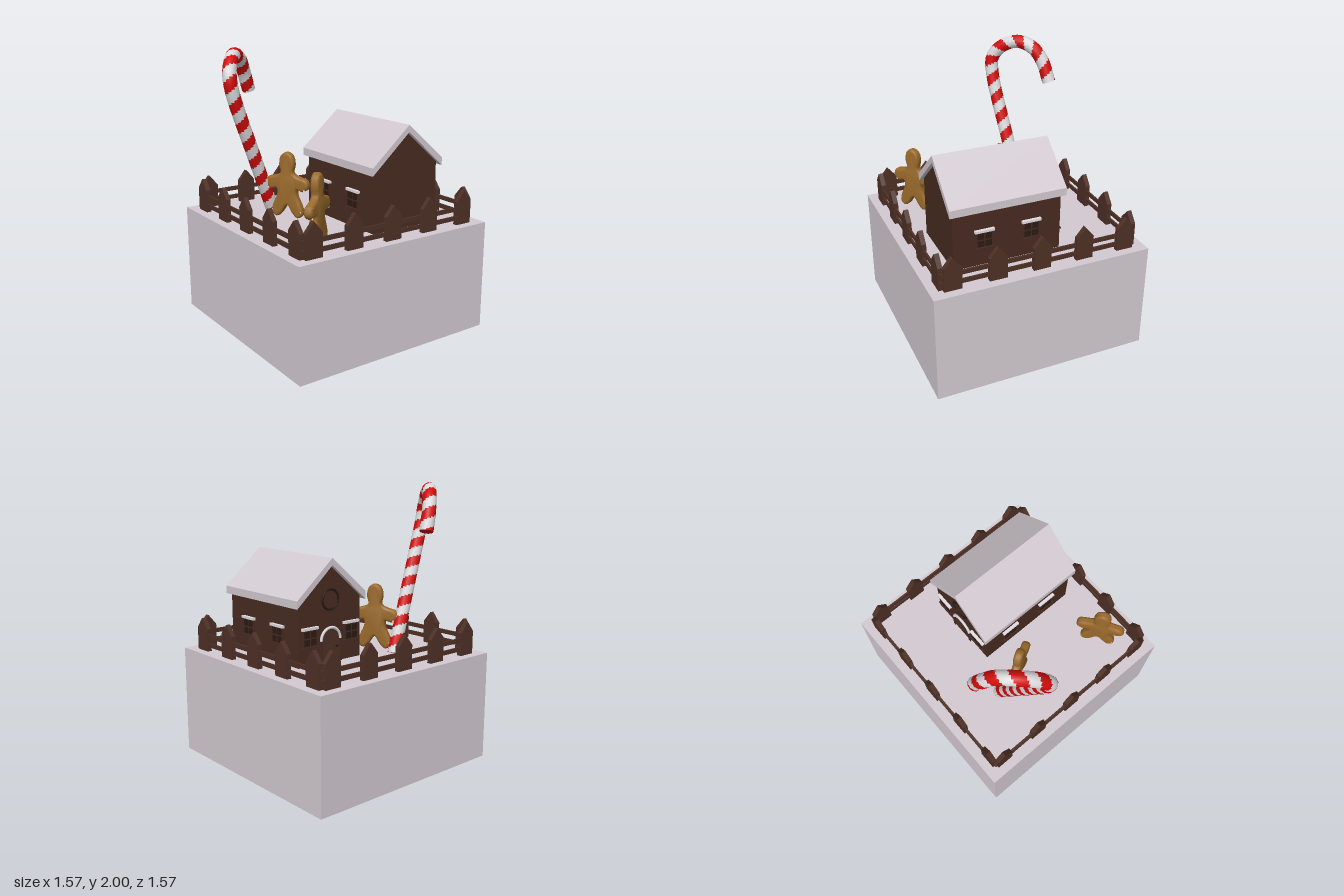
import * as THREE from 'three';
import { toCreasedNormals } from 'three/addons/utils/BufferGeometryUtils.js';

const mat = (name, color) => {
  const m = new THREE.MeshStandardMaterial({ color });
  m.name = name;
  return m;
};

export function createModel() {
  const model = new THREE.Group();
  const snow = mat('snow', 0xd3cad1);
  const chocolate = mat('chocolate', 0x482b20);
  const wood = mat('fence brown', 0x4e3026);
  const glass = mat('dark pane', 0x2c1a14);
  const ginger = mat('gingerbread', 0x9a6a2c);
  const icing = mat('icing', 0xe2dde2);
  const red = mat('candy red', 0xd20c0c);
  const white = mat('candy white', 0xdcdadc);
  const GROUND = 0.79;

  const add = (parent, name, geo, material, x = 0, y = 0, z = 0) => {
    const mesh = new THREE.Mesh(geo, material);
    mesh.name = name;
    mesh.position.set(x, y, z);
    parent.add(mesh);
    return mesh;
  };
  const box = (parent, name, w, h, d, material, x, y, z) =>
    add(parent, name, new THREE.BoxGeometry(w, h, d), material, x, y, z);
  const group = (parent, name, x = 0, y = 0, z = 0, ry = 0) => {
    const g = new THREE.Group();
    g.name = name;
    g.position.set(x, y, z);
    g.rotation.y = ry;
    parent.add(g);
    return g;
  };
  // Extruded polygon, centred in depth
  const slab = (pts, depth) => {
    const shape = new THREE.Shape(pts.map(([x, y]) => new THREE.Vector2(x, y)));
    return new THREE.ExtrudeGeometry(shape, { depth, bevelEnabled: false }).translate(0, 0, -depth / 2);
  };

  // Snow block
  box(model, 'snowBlock', 1.57, GROUND, 1.57, snow, 0, GROUND / 2, 0);

  // Fence: four equal sides
  const picket = slab([[-0.0625, 0], [0.0625, 0], [0.0625, 0.165], [0, 0.24], [-0.0625, 0.165]], 0.034);
  for (let k = 0; k < 4; k++) {
    const side = group(model, 'fenceSide', 0, GROUND, 0, k * Math.PI / 2);
    for (let i = -2; i <= 2; i++) add(side, 'picket', picket, wood, i * 0.315, 0, 0.705);
    for (const y of [0.047, 0.112]) box(side, 'rail', 1.41, 0.03, 0.014, wood, 0, y, 0.705);
  }

  // House walls and roof
  const house = group(model, 'house', 0.235, 0, 0.16);
  add(house, 'walls', slab([[-0.275, GROUND], [0.275, GROUND], [0.275, 1.227], [0, 1.461], [-0.275, 1.227]], 0.78), chocolate);
  add(house, 'roof', slab([[-0.305, 1.2], [0, 1.465], [0.305, 1.2], [0.305, 1.255], [0, 1.515], [-0.305, 1.255]], 0.835), snow);

  // Window built facing +z
  const addWindow = (x, z, ry) => {
    const w = group(house, 'window', x, 0.99, z, ry);
    box(w, 'windowFrame', 0.13, 0.13, 0.012, chocolate, 0, 0, 0.006);
    for (const sx of [-1, 1]) for (const sy of [-1, 1])
      box(w, 'windowPane', 0.045, 0.045, 0.004, glass, sx * 0.028, sy * 0.028 - 0.005, 0.013);
    box(w, 'windowSill', 0.14, 0.012, 0.022, chocolate, 0, -0.065, 0.011);
    box(w, 'windowSnow', 0.14, 0.018, 0.022, icing, 0, 0.062, 0.011);
  };
  for (const s of [-1, 1]) {
    for (const z of [0.17, -0.17]) addWindow(s * 0.275, z, s * Math.PI / 2);
    addWindow(s * 0.185, -0.39, Math.PI);
  }

  // Arched door and round window on the back gable
  const back = group(house, 'backFacade', 0, 0, -0.39, Math.PI);
  const arch = r => {
    const s = new THREE.Shape();
    s.moveTo(-r, 0);
    s.lineTo(r, 0);
    s.lineTo(r, 0.16);
    s.absarc(0, 0.16, r, 0, Math.PI);
    return s;
  };
  add(back, 'door', new THREE.ExtrudeGeometry(arch(0.08), { depth: 0.009, bevelEnabled: false }), wood, 0, GROUND, 0);
  box(back, 'doorKnob', 0.014, 0.014, 0.02, glass, 0.05, 0.9, 0.012);
  add(back, 'doorSnow', new THREE.TorusGeometry(0.085, 0.011, 6, 20, Math.PI), icing, 0, 0.95, 0.008);
  for (const s of [-1, 1]) box(back, 'doorPost', 0.018, 0.16, 0.016, chocolate, s * 0.087, 0.87, 0.008);
  add(back, 'roundPane', new THREE.CircleGeometry(0.065, 24), chocolate, 0, 1.23, 0.003);
  add(back, 'roundFrame', new THREE.TorusGeometry(0.07, 0.009, 6, 24), glass, 0, 1.23, 0.004);

  // Candy cane: a bent tube with spiral stripes
  const path = new THREE.CatmullRomCurve3([
    [-0.295, 0.78, -0.325], [-0.475, 1.23, -0.275], [-0.655, 1.7, -0.23], [-0.67, 1.82, -0.24],
    [-0.625, 1.91, -0.305], [-0.545, 1.95, -0.4], [-0.46, 1.91, -0.48], [-0.405, 1.82, -0.53], [-0.35, 1.675, -0.56],
  ].map(p => new THREE.Vector3(...p)));
  const LEN = 144, SIDES = 12, R = 0.049;
  const tube = new THREE.TubeGeometry(path, LEN, R, SIDES);
  const redFaces = [], whiteFaces = [];
  for (let j = 0; j < LEN; j++) for (let i = 0; i < SIDES; i++) {
    const start = (j * SIDES + i) * 6;
    const target = (j + i) % 12 < 6 ? redFaces : whiteFaces;
    for (let n = 0; n < 6; n++) target.push(tube.index.getX(start + n));
  }
  tube.setIndex([...redFaces, ...whiteFaces]);
  tube.addGroup(0, redFaces.length, 0);
  tube.addGroup(redFaces.length, whiteFaces.length, 1);
  const cane = group(model, 'candyCane');
  add(cane, 'caneTube', tube, [red, white]);
  for (const t of [0, 1]) {
    const end = path.getPointAt(t);
    const dir = path.getTangentAt(t).multiplyScalar(t ? 1 : -1);
    const cap = add(cane, 'caneCap', new THREE.CircleGeometry(R, SIDES), red, end.x, end.y, end.z);
    cap.quaternion.setFromUnitVectors(new THREE.Vector3(0, 0, 1), dir);
  }

  // Gingerbread figures: mirrored outline with puffy edges
  const half = [[0.045, 0.03], [0.085, 0], [0.125, 0.03], [0.115, 0.09], [0.08, 0.17], [0.085, 0.21], [0.13, 0.2],
    [0.172, 0.235], [0.16, 0.285], [0.1, 0.305], [0.05, 0.33], [0.06, 0.39], [0.045, 0.455]];
  const outline = [[0, 0.09], ...half, [0, 0.48], ...half.slice().reverse().map(([x, y]) => [-x, y])];
  const curve = new THREE.CatmullRomCurve3(outline.map(([x, y]) => new THREE.Vector3(x, y, 0)), true);
  const cookieShape = new THREE.Shape(curve.getPoints(84).slice(0, -1).map(p => new THREE.Vector2(p.x, p.y)));
  const cookie = toCreasedNormals(new THREE.ExtrudeGeometry(cookieShape, {
    depth: 0.02, bevelThickness: 0.02, bevelSize: 0.02, bevelOffset: -0.02, bevelSegments: 4,
  }).translate(0, 0, -0.01), 0.9);
  for (const [x, z, ry] of [[-0.455, 0.495, 0.61], [-0.285, -0.135, -1.07]]) {
    const man = group(model, 'gingerbreadFigure', x, GROUND, z, ry);
    add(man, 'gingerbreadBody', cookie, ginger);
    for (const s of [-1, 1]) {
      box(man, 'wristIcing', 0.011, 0.075, 0.056, icing, s * 0.14, 0.246, 0).rotation.z = s * 0.1;
      box(man, 'ankleIcing', 0.062, 0.011, 0.056, icing, s * 0.088, 0.045, 0).rotation.z = s * 0.25;
    }
  }
  return model;
}
